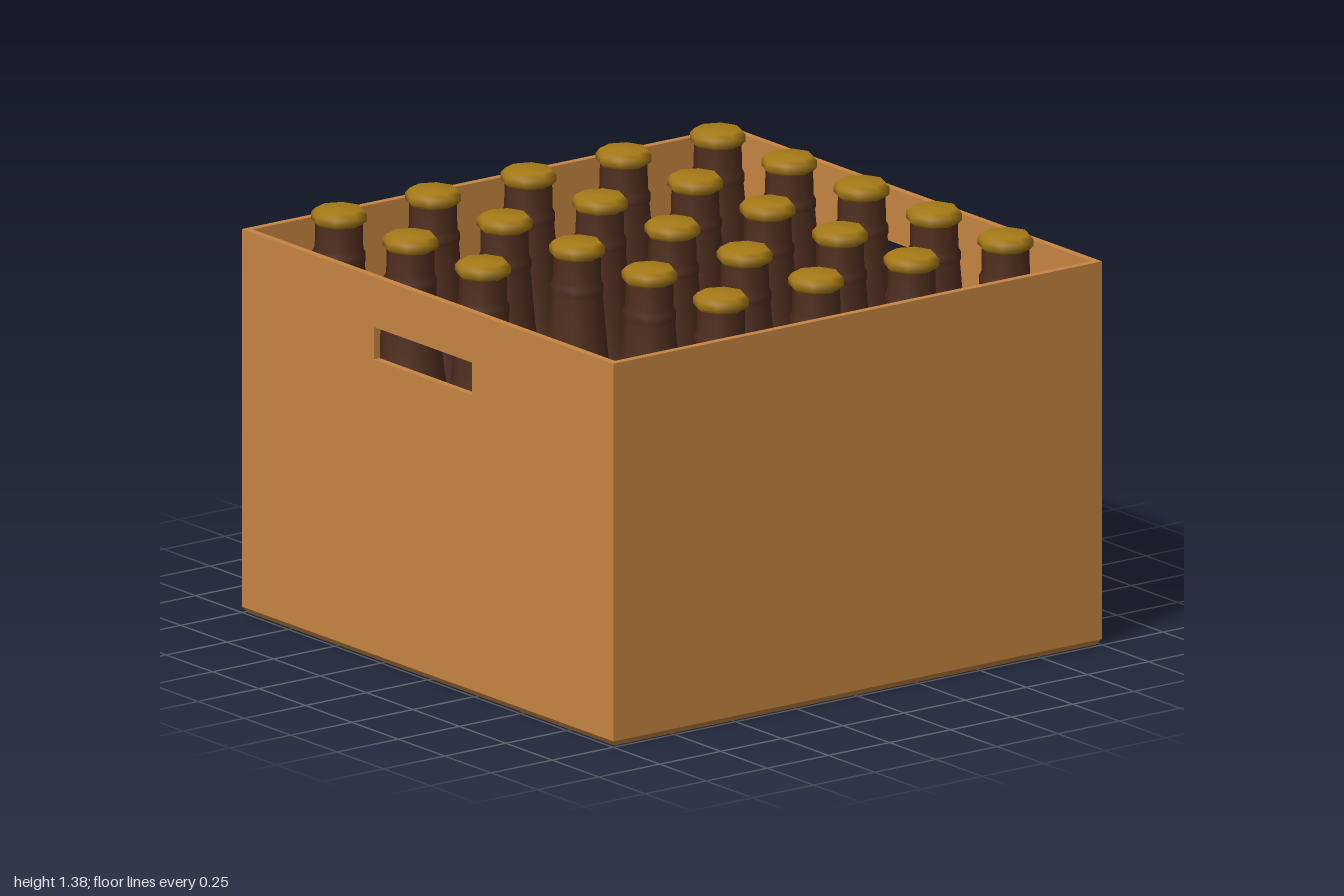
import * as THREE from 'three';

const cardboard = new THREE.MeshStandardMaterial({ color: 0xc68642 });
const cardboardFlat = new THREE.MeshStandardMaterial({ color: 0xc68642, flatShading: true });
const glass = new THREE.MeshStandardMaterial({ color: 0x4f2d1e });
const capMetal = new THREE.MeshStandardMaterial({ color: 0xa67a16 });

const HEIGHT = 1.3, BASE = 0.02, WALL = 0.025;

function addMesh(parent, name, geometry, material, x = 0, y = 0, z = 0) {
  const mesh = new THREE.Mesh(geometry, material);
  mesh.name = name;
  mesh.position.set(x, y, z);
  parent.add(mesh);
  return mesh;
}

// Wall panel with a rectangular hand hole
function handleWall(x0, x1, y0, y1) {
  const shape = new THREE.Shape([[-1, BASE], [1, BASE], [1, HEIGHT], [-1, HEIGHT]]
    .map(([x, y]) => new THREE.Vector2(x, y)));
  shape.holes.push(new THREE.Path([[x0, y0], [x0, y1], [x1, y1], [x1, y0]]
    .map(([x, y]) => new THREE.Vector2(x, y))));
  return new THREE.ExtrudeGeometry(shape, { depth: WALL, bevelEnabled: false });
}

function lathe(profile) {
  return new THREE.LatheGeometry(profile.map(([r, y]) => new THREE.Vector2(r, y)), 8);
}

export function createModel() {
  const model = new THREE.Group();
  model.name = 'bottleCrate';

  // Open crate with a chamfered base
  const crate = new THREE.Group();
  crate.name = 'crate';
  model.add(crate);
  const base = new THREE.CylinderGeometry(Math.SQRT2, 0.985 * Math.SQRT2, BASE, 4);
  base.rotateY(Math.PI / 4);
  addMesh(crate, 'base', base, cardboardFlat, 0, BASE / 2, 0);
  addMesh(crate, 'frontWall', handleWall(-0.29, 0.24, 1.02, 1.13), cardboard, 0, 0, 1 - WALL);
  addMesh(crate, 'backWall', handleWall(-0.22, 0.17, 1.035, 1.12), cardboard, 0, 0, -1);
  const side = new THREE.BoxGeometry(WALL, HEIGHT - BASE, 2 - 2 * WALL);
  for (const s of [-1, 1]) {
    addMesh(crate, s > 0 ? 'leftWall' : 'rightWall', side, cardboard,
      s * (1 - WALL / 2), (HEIGHT + BASE) / 2, 0);
  }

  // Eight-sided bottle: body, shoulder, neck and lip ring
  const bottleShape = lathe([
    [0, 0.025], [0.165, 0.025], [0.18, 0.05], [0.18, 0.58], [0.168, 0.69], [0.14, 0.79],
    [0.115, 0.9], [0.101, 1.02], [0.091, 1.13], [0.085, 1.2], [0.088, 1.21],
    [0.088, 1.235], [0.08, 1.25], [0.078, 1.345],
  ]);
  const capShape = lathe([
    [0, 1.33], [0.08, 1.33], [0.092, 1.342], [0.092, 1.364], [0.078, 1.38], [0, 1.384],
  ]);

  // Five rows of five, with two places empty at the front left
  const places = [-0.78, -0.395, -0.005, 0.385, 0.77];
  places.forEach((z, row) => places.forEach((x, column) => {
    if (row === 4 && column > 2) return;
    const bottle = new THREE.Group();
    bottle.name = 'bottle';
    bottle.position.set(x, 0, z);
    addMesh(bottle, 'bottleGlass', bottleShape, glass);
    addMesh(bottle, 'bottleCap', capShape, capMetal);
    model.add(bottle);
  }));
  return model;
}
